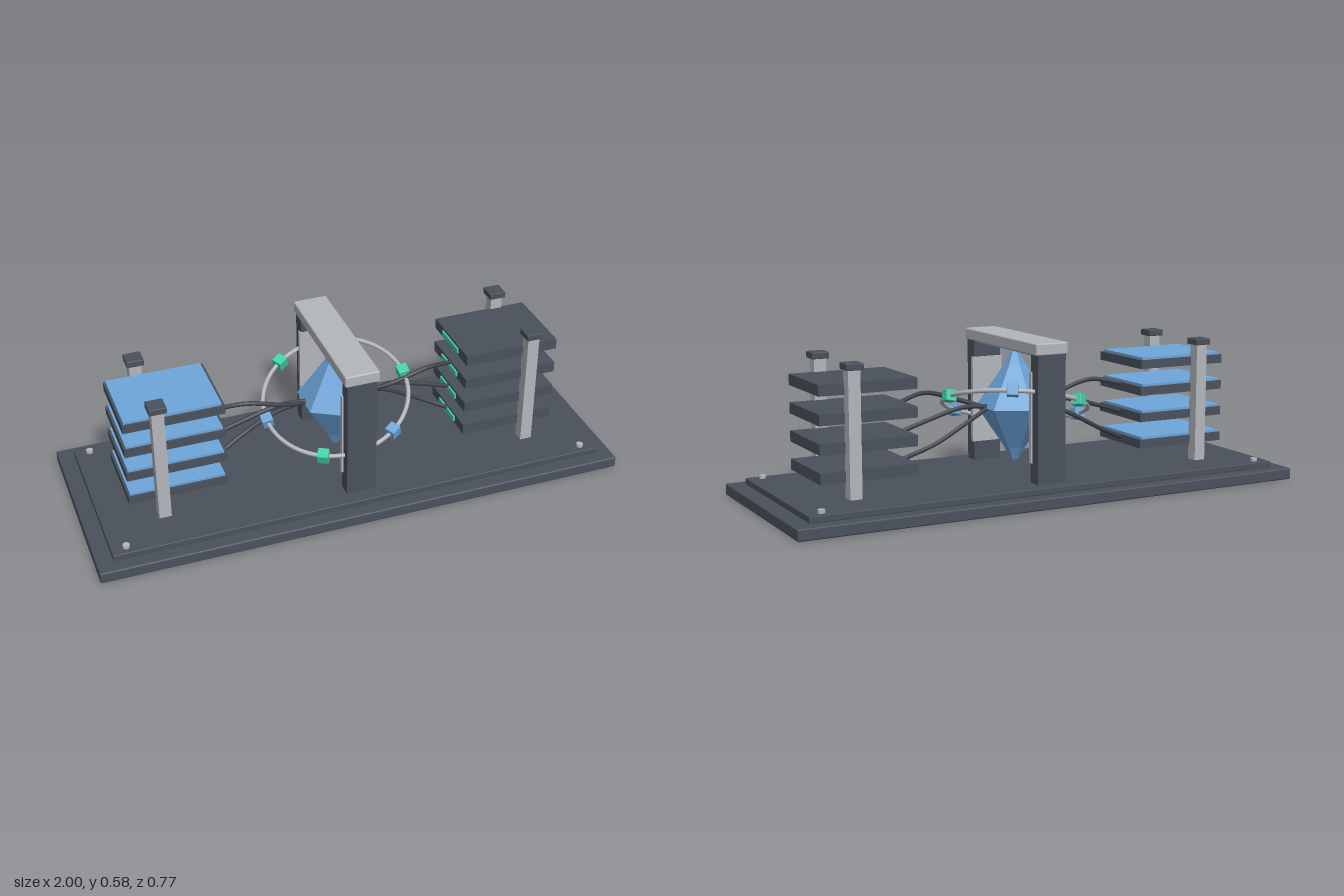
import * as THREE from 'three';
import { RoundedBoxGeometry } from 'three/addons/geometries/RoundedBoxGeometry.js';

const paint = (name, color, extra = {}) => {
  const m = new THREE.MeshStandardMaterial({ color, ...extra });
  m.name = name;
  return m;
};

export function createModel() {
  const dark = paint('dark slate', 0x4a515c);
  const cableGrey = paint('cable grey', 0x3f434a);
  const silver = paint('silver', 0xb3b6bc);
  const blue = paint('blue', 0x6ea6da);
  const crystalBlue = paint('crystal blue', 0x6ba3d8, { flatShading: true });
  const teal = paint('teal', 0x42d0a6);

  const model = new THREE.Group();
  model.name = 'crystalMachine';

  const add = (parent, name, geometry, material, x = 0, y = 0, z = 0) => {
    const mesh = new THREE.Mesh(geometry, material);
    mesh.name = name;
    mesh.position.set(x, y, z);
    parent.add(mesh);
    return mesh;
  };
  // Box given by its centre in x and z and its bottom and top heights
  const box = (parent, name, material, w, d, y0, y1, x = 0, z = 0, round = 0) => {
    const h = y1 - y0;
    const g = round ? new RoundedBoxGeometry(w, h, d, 2, round) : new THREE.BoxGeometry(w, h, d);
    return add(parent, name, g, material, x, (y0 + y1) / 2, z);
  };

  // Stepped base with corner bolts
  box(model, 'base', dark, 2, 0.77, 0, 0.043, 0, 0, 0.006);
  box(model, 'basePlate', dark, 1.88, 0.666, 0.043, 0.067, 0, 0, 0.003);
  for (const sx of [-1, 1]) for (const sz of [-1, 1])
    add(model, 'bolt', new THREE.CylinderGeometry(0.013, 0.013, 0.014, 12), silver, sx * 0.885, 0.072, sz * 0.3);

  // Central arch
  const arch = new THREE.Group();
  arch.name = 'arch';
  model.add(arch);
  for (const s of [-1, 1]) {
    box(arch, 'archLeg', dark, 0.112, 0.054, 0.067, 0.535, 0, s * 0.253);
    box(arch, 'legLiner', silver, 0.125, 0.016, 0.14, 0.47, 0, s * 0.232);
  }
  box(arch, 'archBeam', silver, 0.13, 0.566, 0.533, 0.577, 0, 0, 0.006);
  box(arch, 'beamLight', blue, 0.09, 0.45, 0.526, 0.534);

  // Six-sided crystal, stacked from tapered sections
  const crystal = new THREE.Group();
  crystal.name = 'crystal';
  model.add(crystal);
  const profile = [[0.015, 0.107], [0.04, 0.155], [0.144, 0.311], [0.04, 0.467], [0.015, 0.515]];
  profile.slice(1).forEach(([r1, y1], i) => {
    const [r0, y0] = profile[i];
    add(crystal, 'crystalSection', new THREE.CylinderGeometry(r1, r0, y1 - y0, 6, 1, true), crystalBlue, 0, (y0 + y1) / 2);
  });
  for (const [y, turn] of [[0.515, -1], [0.107, 1]]) {
    const tip = add(crystal, 'crystalTip', new THREE.CircleGeometry(0.015, 6), crystalBlue, 0, y);
    tip.rotation.set(turn * Math.PI / 2, 0, Math.PI / 2);
  }

  // Tilted ring with alternating nodes
  const ring = new THREE.Group();
  ring.name = 'orbitRing';
  ring.position.y = 0.313;
  ring.quaternion.setFromUnitVectors(new THREE.Vector3(0, 1, 0), new THREE.Vector3(-0.21, 1, 0.31).normalize());
  model.add(ring);
  const R = 0.272;
  add(ring, 'ringTube', new THREE.TorusGeometry(R, 0.008, 10, 72), silver).rotation.x = Math.PI / 2;
  for (let i = 0; i < 6; i++) {
    const a = i * Math.PI / 3;
    const node = add(ring, 'ringNode', new RoundedBoxGeometry(0.042, 0.042, 0.042, 1, 0.003),
      i % 2 ? blue : teal, R * Math.cos(a), 0, R * Math.sin(a));
    node.rotation.y = -a;
  }

  // Shelf stacks: blue-topped on the right, plain with teal end lights on the left
  for (const s of [-1, 1]) {
    const stack = new THREE.Group();
    stack.name = s < 0 ? 'rightStack' : 'leftStack';
    model.add(stack);
    for (let i = 0; i < 4; i++) {
      const y = 0.143 + i * 0.102;
      if (s < 0) {
        box(stack, 'shelf', dark, 0.37, 0.294, y - 0.015, y + 0.018, -0.648, 0);
        box(stack, 'shelfPanel', blue, 0.352, 0.28, y + 0.018, y + 0.027, -0.65, 0);
      } else {
        box(stack, 'shelf', dark, 0.366, 0.294, y - 0.02, y + 0.02, 0.646, 0);
        box(stack, 'endLight', teal, 0.008, 0.14, y - 0.009, y + 0.011, 0.46, 0);
      }
    }
    for (const sz of [-1, 1]) {
      box(stack, 'post', silver, 0.045, 0.044, 0.067, 0.518, s * 0.713, sz * 0.162);
      box(stack, 'postCap', dark, 0.064, 0.064, 0.516, 0.54, s * 0.713, sz * 0.162, 0.003);
    }
    // Cables from the lower three shelves to the crystal
    const runs = [
      [0.36, 0.38, 0.345, 0.305, 0.036],
      [0.25, 0.287, 0.32, 0.315, 0],
      [0.148, 0.2, 0.268, 0.318, -0.036],
    ];
    for (const [y0, y1, y2, y3, bulge] of runs) {
      const path = new THREE.CatmullRomCurve3([
        new THREE.Vector3(s * 0.47, y0, 0),
        new THREE.Vector3(s * 0.35, y1, bulge),
        new THREE.Vector3(s * 0.22, y2, bulge),
        new THREE.Vector3(s * 0.1, y3, 0),
      ]);
      add(stack, 'cable', new THREE.TubeGeometry(path, 32, 0.0085, 8), cableGrey);
    }
  }
  return model;
}
